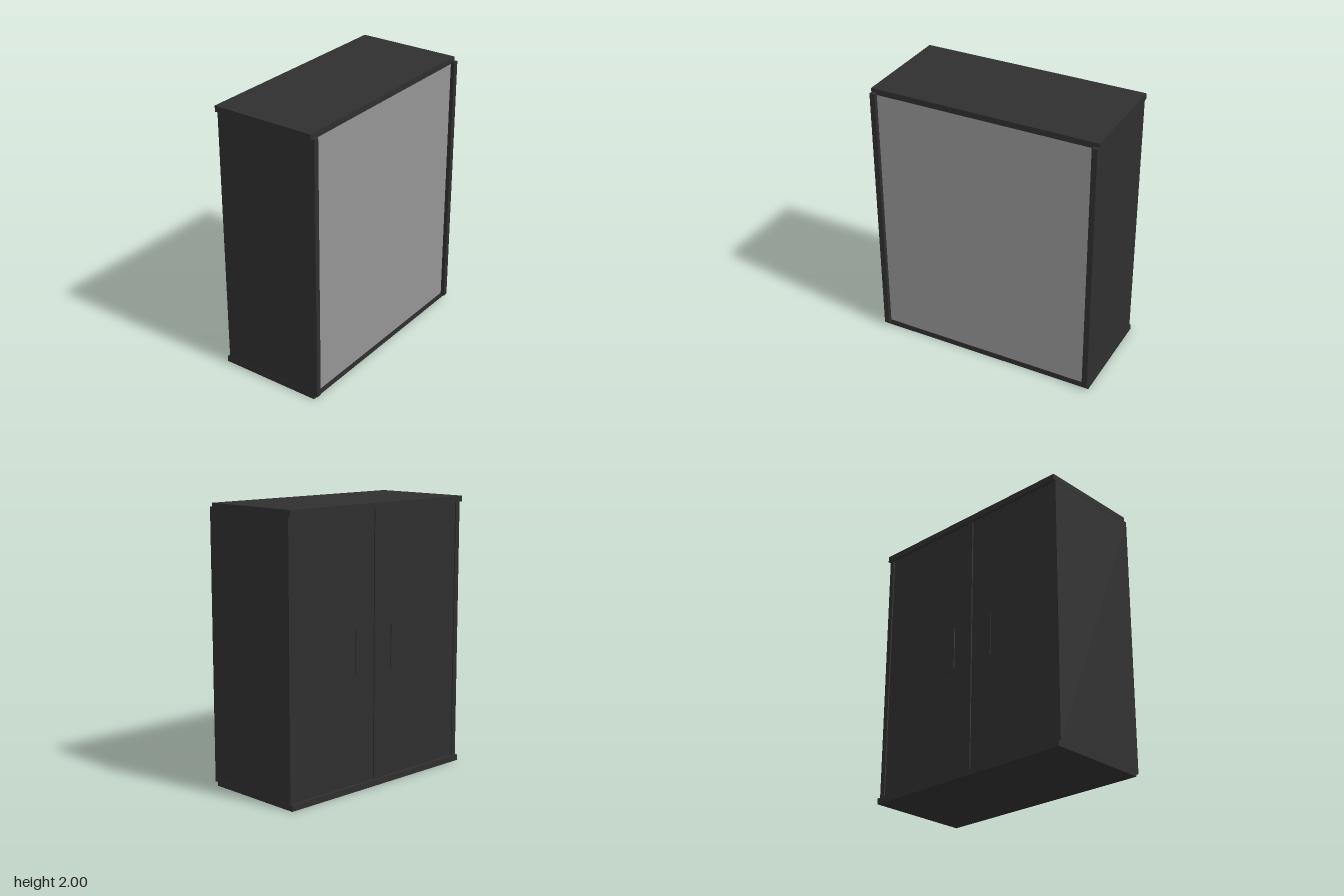
import * as THREE from 'three';

const darkLaminate = new THREE.MeshStandardMaterial({ color: 0x2f2f2f });
const greyBacking = new THREE.MeshStandardMaterial({ color: 0x949494 });

// Box given by its extents along each axis
function board(name, [x0, x1], [y0, y1], [z0, z1], material = darkLaminate) {
  const mesh = new THREE.Mesh(new THREE.BoxGeometry(x1 - x0, y1 - y0, z1 - z0), material);
  mesh.position.set((x0 + x1) / 2, (y0 + y1) / 2, (z0 + z1) / 2);
  mesh.name = name;
  return mesh;
}

// Thin pull plate with rounded corners, standing on the door face at x
function pullPlate(name, x, z) {
  const w = 0.05, h = 0.17, r = 0.025;
  const s = new THREE.Shape();
  s.moveTo(-w + r, -h);
  s.lineTo(w - r, -h);
  s.quadraticCurveTo(w, -h, w, -h + r);
  s.lineTo(w, h - r);
  s.quadraticCurveTo(w, h, w - r, h);
  s.lineTo(-w + r, h);
  s.quadraticCurveTo(-w, h, -w, h - r);
  s.lineTo(-w, -h + r);
  s.quadraticCurveTo(-w, -h, -w + r, -h);
  const geometry = new THREE.ExtrudeGeometry(s, { depth: 0.008, bevelEnabled: false, curveSegments: 6 });
  const mesh = new THREE.Mesh(geometry, darkLaminate);
  mesh.rotation.y = -Math.PI / 2; // extrude towards -x
  mesh.position.set(x, 0.99, z);
  mesh.name = name;
  return mesh;
}

export function createModel() {
  const cabinet = new THREE.Group();
  cabinet.name = 'cabinet';

  // Top and bottom boards overhang the doors
  cabinet.add(
    board('topBoard', [-0.405, 0.378], [1.957, 2], [-0.845, 0.845]),
    board('bottomBoard', [-0.405, 0.378], [0, 0.043], [-0.845, 0.845]),
  );

  // Back panel, set in between the side boards
  cabinet.add(board('backPanel', [0.36, 0.376], [0.04, 1.96], [-0.81, 0.81], greyBacking));

  // Stile between the doors
  cabinet.add(board('centreStile', [-0.385, -0.34], [0.04, 1.96], [-0.045, 0.045]));

  // Side boards, doors and pulls, mirrored across z
  for (const [side, label] of [[-1, 'Rear'], [1, 'Front']]) {
    const span = (a, b) => [Math.min(side * a, side * b), Math.max(side * a, side * b)];
    cabinet.add(
      board('sideBoard' + label, [-0.385, 0.405], [0.026, 1.972], span(0.803, 0.843)),
      board('door' + label, [-0.376, -0.34], [0.04, 1.96], span(0.045, 0.803)),
      pullPlate('pull' + label, -0.376, side * 0.175),
    );
  }
  return cabinet;
}
